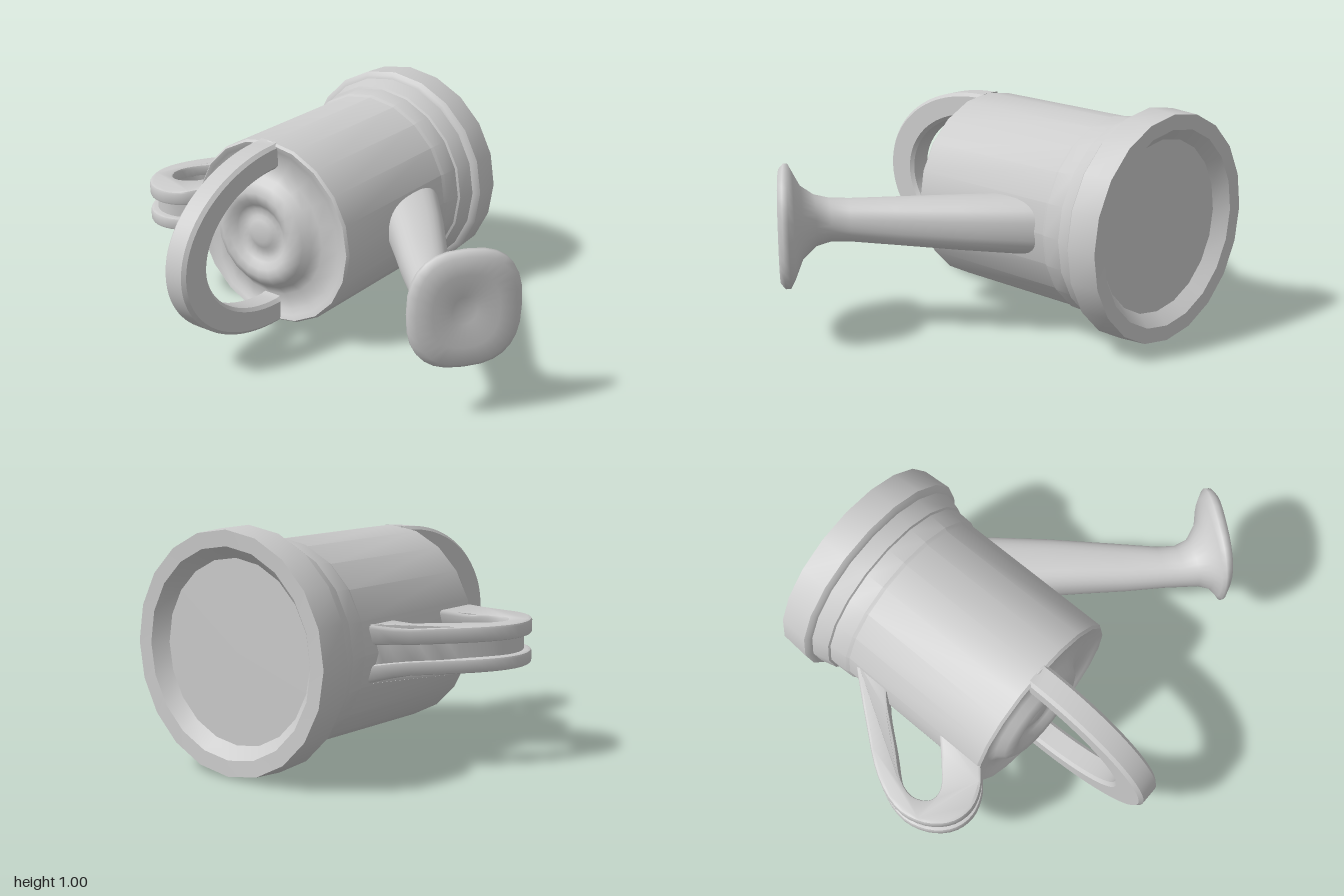
import * as THREE from 'three';
import { toCreasedNormals } from 'three/addons/utils/BufferGeometryUtils.js';

const CX = -0.238, CY = 0.509;
const grey = new THREE.MeshStandardMaterial({ color: 0xcccccc, side: THREE.DoubleSide });

function addMesh(parent, name, geometry, crease = 0.6) {
  const mesh = new THREE.Mesh(toCreasedNormals(geometry, crease), grey);
  mesh.name = name;
  parent.add(mesh);
  return mesh;
}

const smooth = (points, n) =>
  new THREE.SplineCurve(points.map(([x, y]) => new THREE.Vector2(x, y))).getPoints(n);

// Lathe turned so that its axis runs along z; profile is [radius, z]
function turned(profile, sides) {
  const g = new THREE.LatheGeometry(profile.map(([r, z]) => new THREE.Vector2(r, z)), sides);
  g.rotateX(Math.PI / 2);
  g.translate(CX, CY, 0);
  return g;
}

// Surface through rounded sections spanning edge points A and B (x, z), with half height h
// and roundness exponent e (2 = ellipse, more = squarer)
function spoutGeometry(sections, yMid, sides) {
  const pos = [], index = [];
  for (const [ax, az, bx, bz, h, e] of sections) {
    for (let j = 0; j < sides; j++) {
      const t = (j / sides) * Math.PI * 2;
      const c = Math.sign(Math.cos(t)) * Math.abs(Math.cos(t)) ** (2 / e);
      const s = Math.sign(Math.sin(t)) * Math.abs(Math.sin(t)) ** (2 / e);
      pos.push((ax + bx) / 2 + ((ax - bx) / 2) * c, yMid + h * s, (az + bz) / 2 + ((az - bz) / 2) * c);
    }
  }
  for (let i = 0; i < sections.length - 1; i++) {
    for (let j = 0; j < sides; j++) {
      const a = i * sides + j, b = i * sides + (j + 1) % sides;
      index.push(a, b, b + sides, a, b + sides, a + sides);
    }
  }
  const g = new THREE.BufferGeometry();
  g.setAttribute('position', new THREE.Float32BufferAttribute(pos, 3));
  g.setIndex(index);
  return g;
}

export function createModel() {
  const model = new THREE.Group();
  model.name = 'wateringCan';

  // Can body: recessed base, stepped foot rings and plain wall
  addMesh(model, 'body', turned([
    [0, -0.785], [0.375, -0.785], [0.425, -0.84],
    [0.49, -0.843], [0.498, -0.71], [0.483, -0.695],
    [0.468, -0.69], [0.448, -0.615], [0.438, -0.61],
    [0.434, -0.525], [0.426, -0.51], [0.427, 0.22], [0.418, 0.232],
  ], 20), 0.5);

  // Front lid: sunken ring, rounded bulge and central dimple with a button
  const lid = turned([
    [0.418, 0.232], [0.395, 0.224], [0.37, 0.208], [0.3, 0.205], [0.265, 0.225],
    [0.24, 0.257], [0.2, 0.279], [0.165, 0.272], [0.135, 0.25], [0.115, 0.238],
    [0.085, 0.238], [0.065, 0.248], [0.04, 0.255], [0, 0.255],
  ], 20);
  // Bulge sits slightly off the centre of the can
  const lidPos = lid.attributes.position;
  for (let i = 0; i < lidPos.count; i++) {
    const r = Math.hypot(lidPos.getX(i) - CX, lidPos.getY(i) - CY);
    const k = Math.min(1, (0.418 - r) / 0.14);
    lidPos.setXY(i, lidPos.getX(i) - 0.04 * k, lidPos.getY(i) - 0.01 * k);
  }
  addMesh(model, 'lid', lid, 1.2);

  // Arched carrying handle across the front
  const arch = new THREE.Shape();
  arch.moveTo(0.225, CY - 0.408);
  arch.absellipse(0.23, CY - 0.002, 0.597, 0.408, -Math.PI / 2, Math.PI / 2, false);
  arch.lineTo(0.225, CY + 0.408);
  arch.lineTo(0.225, CY + 0.325);
  arch.absellipse(0.23, CY - 0.002, 0.475, 0.325, Math.PI / 2, -Math.PI / 2, true);
  arch.lineTo(0.225, CY - 0.325);
  const archGeo = new THREE.ExtrudeGeometry(arch, {
    depth: 0.085, curveSegments: 24, bevelThickness: 0.015, bevelSize: 0.015, bevelSegments: 1,
  });
  archGeo.rotateY(-Math.PI / 2);
  archGeo.translate(-0.208, 0, 0);
  addMesh(model, 'frontHandle', archGeo, 0.5);

  // Looped side handle: two rails with a web set back between them
  const sideHandle = new THREE.Group();
  sideHandle.name = 'sideHandle';
  model.add(sideHandle);
  const outer = [[-0.62, 0.5], [-0.66, 0.455], [-0.8, 0.28], [-0.94, 0.09], [-0.998, -0.07],
    [-0.975, -0.2], [-0.9, -0.29], [-0.8, -0.318], [-0.7, -0.285], [-0.62, -0.215]];
  const inner = [[-0.62, 0.03], [-0.65, -0.01], [-0.72, -0.08], [-0.81, -0.158], [-0.88, -0.16],
    [-0.918, -0.09], [-0.89, 0], [-0.8, 0.11], [-0.69, 0.25], [-0.62, 0.32]];
  const inset = outer.map(([x, y]) => {
    const dx = x + 0.78, dy = y - 0.02, d = Math.hypot(dx, dy);
    return [x === -0.62 ? x : x - (dx / d) * 0.035, y - (dy / d) * 0.035];
  });
  const layer = (name, edge, y0, y1, bevel) => {
    const shape = new THREE.Shape([...smooth(edge, 32), ...smooth(inner, 32)]);
    const g = new THREE.ExtrudeGeometry(shape, {
      depth: y1 - y0 - 2 * bevel, bevelEnabled: bevel > 0,
      bevelThickness: bevel, bevelSize: bevel, bevelOffset: -bevel, bevelSegments: 2,
    });
    g.rotateX(-Math.PI / 2);
    g.translate(0, y0 + bevel, 0);
    // Flare the rails where they meet the body
    const p = g.attributes.position;
    for (let i = 0; i < p.count; i++) {
      const f = THREE.MathUtils.clamp((p.getX(i) + 0.73) / 0.11, 0, 1);
      p.setY(i, 0.507 + (p.getY(i) - 0.507) * (1 + 0.3 * f));
    }
    addMesh(sideHandle, name, g, 0.7);
  };
  layer('lowerRail', outer, 0.412, 0.47, 0.012);
  layer('web', inset, 0.455, 0.55, 0);
  layer('upperRail', outer, 0.535, 0.6, 0.012);

  // Spout flaring into a pillow-shaped sprinkler head with a shallow dent
  addMesh(model, 'spout', spoutGeometry([
    [0.08, -0.57, -0.02, -0.25, 0.125, 2.6],
    [0.2, -0.45, 0.13, -0.13, 0.122, 2.6],
    [0.36, -0.25, 0.28, 0.025, 0.112, 2.5],
    [0.53, -0.02, 0.42, 0.175, 0.1, 2.4],
    [0.655, 0.15, 0.54, 0.295, 0.092, 2.2],
    [0.71, 0.21, 0.605, 0.365, 0.093, 2.2],
    [0.77, 0.235, 0.65, 0.41, 0.11, 2.2],
    [0.86, 0.215, 0.68, 0.46, 0.155, 2.2],
    [0.945, 0.16, 0.685, 0.505, 0.222, 2.4],
    [0.985, 0.148, 0.688, 0.523, 0.256, 2.6],
    [1.002, 0.165, 0.7, 0.53, 0.257, 2.6],
    [1.0, 0.2, 0.735, 0.52, 0.235, 2.6],
    [0.958, 0.255, 0.78, 0.472, 0.16, 2.4],
    [0.89, 0.315, 0.825, 0.4, 0.06, 2],
    [0.85, 0.35, 0.85, 0.35, 0, 2],
  ], 0.508, 28), 1.2);

  return model;
}
